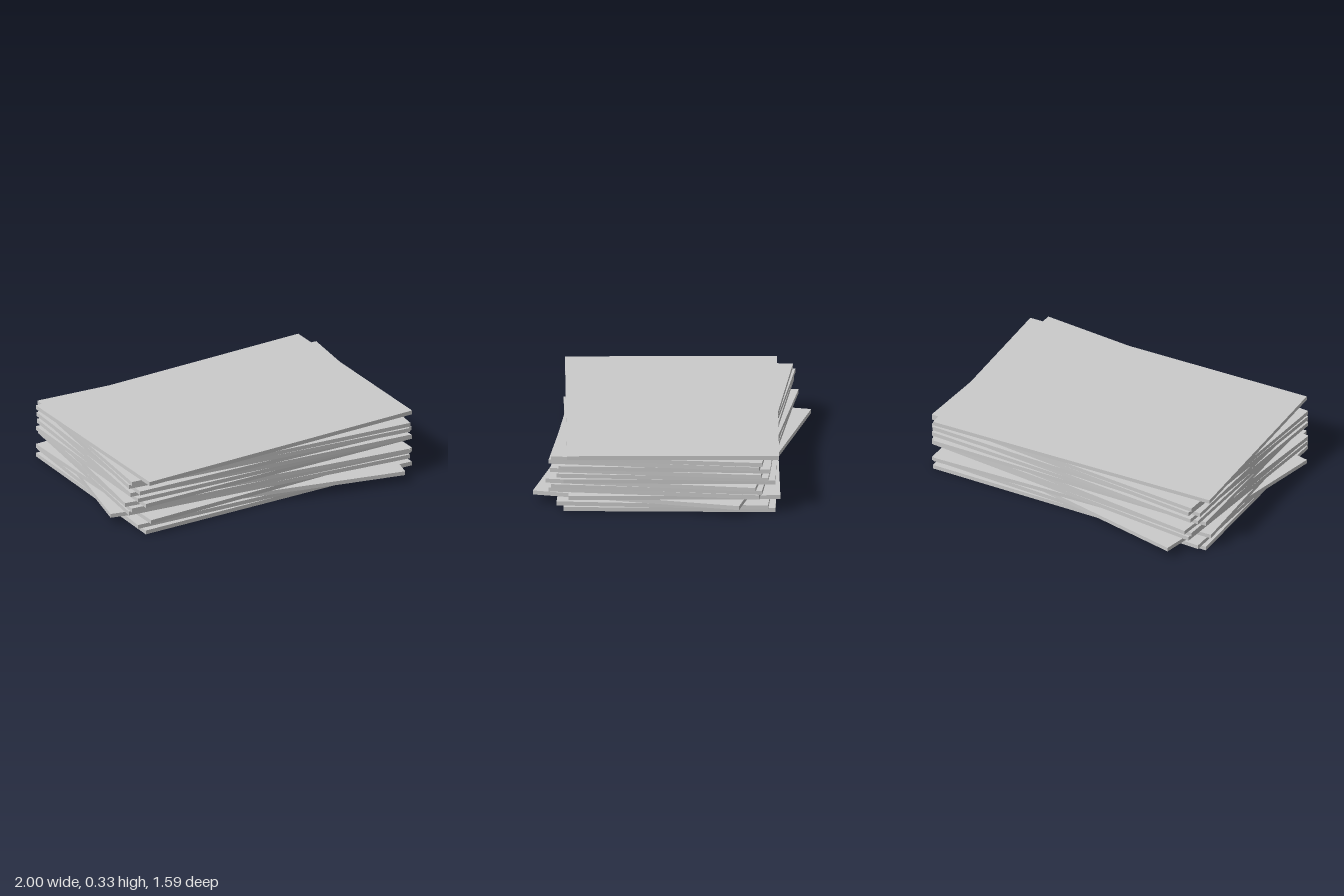
import * as THREE from 'three';

// A stack of thin rectangular boards, each turned a little about the vertical axis.
export function createModel() {
  const group = new THREE.Group();
  group.name = 'boardStack';

  const width = 1.76, depth = 1.2, thickness = 0.332 / 14;
  // Turn of each board in degrees, from the bottom up
  const turns = [-1.3, -4, -13.8, 0.5, -7.1, -6.1, -8.4, -1.3, -3.9, -6.5, -3.2, -7.1, -6.1, 0];

  const geometry = new THREE.BoxGeometry(width, thickness, depth);
  const material = new THREE.MeshStandardMaterial({ color: 0xcccccc });

  turns.forEach((turn, i) => {
    const board = new THREE.Mesh(geometry, material);
    board.name = `board${i + 1}`;
    board.position.y = (i + 0.5) * thickness;
    board.rotation.y = THREE.MathUtils.degToRad(turn);
    group.add(board);
  });

  return group;
}
